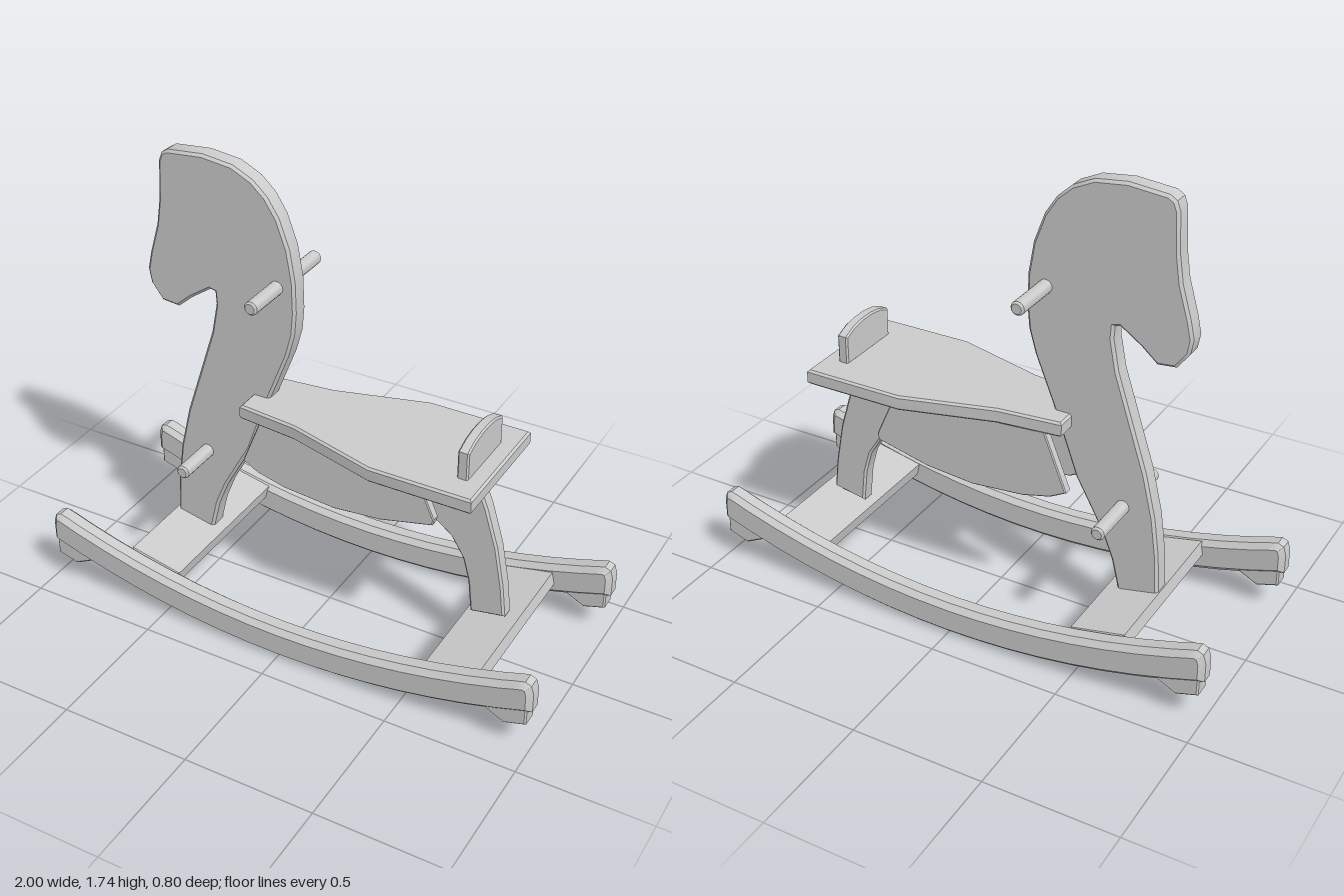
import * as THREE from 'three';
import { toCreasedNormals } from 'three/addons/utils/BufferGeometryUtils.js';

const material = new THREE.MeshStandardMaterial({ color: 0xcccccc });

function add(parent, name, geometry, x = 0, y = 0, z = 0) {
  const mesh = new THREE.Mesh(geometry, material);
  mesh.name = name;
  mesh.position.set(x, y, z);
  parent.add(mesh);
  return mesh;
}

// Board cut from an outline, with chamfered edges, centred on its thickness
function board(points, thickness, bevel) {
  const shape = new THREE.Shape(points.map(([x, y]) => new THREE.Vector2(x, y)));
  const geometry = new THREE.ExtrudeGeometry(shape, {
    depth: thickness - 2 * bevel, bevelEnabled: true, bevelSegments: 1,
    bevelThickness: bevel, bevelSize: bevel, bevelOffset: -bevel,
  });
  geometry.translate(0, 0, bevel - thickness / 2);
  return toCreasedNormals(geometry, 0.5);
}

export function createModel() {
  const group = new THREE.Group();
  const midZ = -0.015;

  // Head, neck and front leg in one board
  add(group, 'headAndNeck', board([
    [-0.67, 0.18], [-0.51, 0.165], [-0.48, 0.29], [-0.44, 0.39], [-0.38, 0.5], [-0.33, 0.59],
    [-0.24, 0.84], [-0.16, 1.04], [-0.135, 1.13], [-0.127, 1.22], [-0.13, 1.34], [-0.15, 1.46],
    [-0.19, 1.57], [-0.235, 1.64], [-0.29, 1.69], [-0.37, 1.728], [-0.49, 1.742], [-0.635, 1.728],
    [-0.66, 1.712], [-0.672, 1.68], [-0.68, 1.53], [-0.695, 1.43], [-0.73, 1.31], [-0.745, 1.24],
    [-0.735, 1.185], [-0.69, 1.125], [-0.62, 1.118], [-0.56, 1.17], [-0.48, 1.225], [-0.46, 1.22],
    [-0.457, 1.17], [-0.48, 1.05], [-0.6, 0.68], [-0.64, 0.51], [-0.66, 0.36],
  ], 0.075, 0.01), 0, 0, midZ);

  // Rear leg
  add(group, 'rearLeg', board([
    [0.59, 0.185], [0.725, 0.21], [0.71, 0.34], [0.68, 0.5], [0.635, 0.65], [0.58, 0.79],
    [0.34, 0.79], [0.42, 0.55], [0.5, 0.49], [0.55, 0.41], [0.575, 0.32],
  ], 0.06, 0.008), 0, 0, midZ);

  // Side panels under the seat
  for (const z of [0.047, -0.113]) {
    add(group, 'sidePanel', board([
      [-0.335, 0.565], [-0.27, 0.53], [-0.16, 0.502], [0.05, 0.483], [0.24, 0.5],
      [0.45, 0.55], [0.455, 0.575], [0.36, 0.79], [-0.245, 0.79],
    ], 0.036, 0.004), 0, 0, z);
  }

  // Seat, drawn flat and turned level
  const half = [[-0.31, 0.12], [-0.07, 0.145], [0.28, 0.243], [0.67, 0.243]];
  const seatOutline = [...half.map(([x, z]) => [x, -z]), ...half.slice().reverse()];
  const seat = add(group, 'seat', board(seatOutline, 0.058, 0.008), 0, 0.812, -0.007);
  seat.rotation.x = -Math.PI / 2;

  // Backrest with an arched top
  const backrest = add(group, 'backrest', board([
    [-0.137, 0], [0.137, 0], [0.137, 0.112], [0.085, 0.133], [0.03, 0.142],
    [-0.03, 0.142], [-0.085, 0.133], [-0.137, 0.112],
  ], 0.042, 0.006), 0.588, 0.836, 0);
  backrest.rotation.y = Math.PI / 2;

  // Hand and foot pegs with chamfered ends
  const pegProfile = [[0, -0.225], [0.019, -0.225], [0.026, -0.217], [0.026, 0.217], [0.019, 0.225], [0, 0.225]]
    .map(([r, y]) => new THREE.Vector2(r, y));
  for (const [name, x, y] of [['handPeg', -0.2, 1.307], ['footPeg', -0.518, 0.526]]) {
    const geometry = toCreasedNormals(new THREE.LatheGeometry(pegProfile, 16), 0.6);
    add(group, name, geometry, x, y, -0.026).rotation.x = Math.PI / 2;
  }

  // Curved rockers, each with a stop block at both ends
  const rail = [];
  for (let i = -8; i <= 8; i++) {
    const x = i / 8;
    rail.push([x * 0.998, 0.003 + 0.17 * x * x]);
  }
  rail.push([0.998, 0.25], [0.988, 0.283], [0.965, 0.293], [0.93, 0.283]);
  for (let i = 7; i >= -7; i--) {
    const x = i / 8;
    rail.push([x, 0.128 + 0.178 * x * x]);
  }
  rail.push([-0.93, 0.283], [-0.965, 0.293], [-0.988, 0.283], [-0.998, 0.25]);
  for (const z of [0.357, -0.357]) {
    add(group, 'rocker', board(rail, 0.084, 0.02), 0, 0, z);
    for (const side of [-1, 1]) {
      const stop = [[0.8, 0.15], [0.83, 0.125], [0.9, 0.09], [0.982, 0.115], [0.982, 0.2], [0.85, 0.18]]
        .map(([x, y]) => [x * side, y]);
      add(group, 'rockerStop', board(stop, 0.07, 0.006), 0, 0, z);
    }
  }

  // Tilted cross boards joining the rockers
  for (const [name, x] of [['frontCrossBoard', -0.575], ['rearCrossBoard', 0.673]]) {
    const section = [[-0.106, -0.026], [0.106, -0.026], [0.106, 0.026], [-0.106, 0.026]];
    const cross = add(group, name, board(section, 0.66, 0.005), x, 0.16, 0);
    cross.rotation.z = Math.sign(x) * 0.21;
  }

  return group;
}
